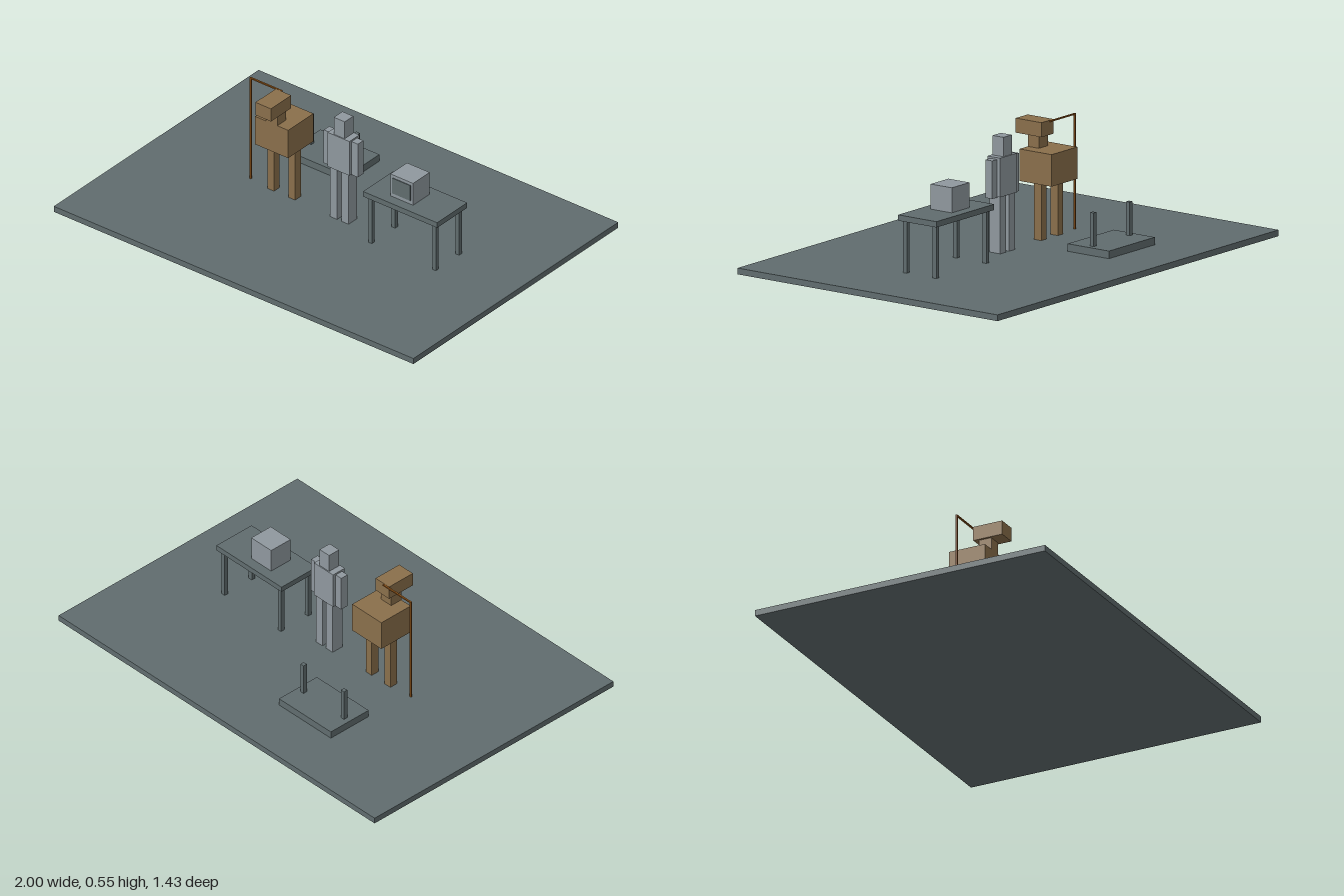
import * as THREE from 'three';

const material = (name, color) => {
  const m = new THREE.MeshStandardMaterial({ color });
  m.name = name;
  return m;
};

export function createModel() {
  const slate = material('slate', 0x606c6e);
  const grey = material('lightGrey', 0x8f989e);
  const brown = material('brown', 0x8a6f4b);
  const rope = material('darkOrangeBrown', 0x8b5218);

  const model = new THREE.Group();
  model.name = 'roomScene';

  const group = (name) => {
    const g = new THREE.Group();
    g.name = name;
    model.add(g);
    return g;
  };

  // Box given by its x, y and z extents
  const box = (parent, name, mat, [x0, x1], [y0, y1], [z0, z1]) => {
    const mesh = new THREE.Mesh(new THREE.BoxGeometry(x1 - x0, y1 - y0, z1 - z0), mat);
    mesh.position.set((x0 + x1) / 2, (y0 + y1) / 2, (z0 + z1) / 2);
    mesh.name = name;
    parent.add(mesh);
  };
  // Extent around a centre
  const around = (c, half) => [c - half, c + half];

  const ground = 0.028;
  box(model, 'floor', slate, [-1, 1], [0, ground], [-0.714, 0.714]);

  // Brown animal figure with two legs and a forward head
  const animal = group('animal');
  const ax = -0.288;
  box(animal, 'body', brown, around(ax, 0.092), [0.282, 0.425], [-0.088, 0.088]);
  box(animal, 'neck', brown, around(ax, 0.032), [0.425, 0.48], [0.028, 0.088]);
  box(animal, 'head', brown, around(ax, 0.043), [0.48, 0.545], [0.005, 0.147]);
  for (const s of [-1, 1])
    box(animal, 'leg', brown, around(ax + s * 0.059, 0.018), [ground, 0.282], around(0, 0.02));

  // Thin pole with an arm reaching behind the head
  const pole = group('pole');
  box(pole, 'upright', rope, around(-0.474, 0.004), [ground, 0.545], around(0, 0.004));
  box(pole, 'crossArm', rope, [-0.47, -0.3], [0.539, 0.545], around(0, 0.004));

  // Grey standing figure
  const person = group('person');
  const px = 0.042;
  box(person, 'torso', grey, around(px, 0.06), [0.283, 0.458], around(0, 0.035));
  box(person, 'head', grey, around(px, 0.03), [0.458, 0.545], around(0, 0.03));
  for (const s of [-1, 1]) {
    box(person, 'arm', grey, around(px + s * 0.077, 0.018), [0.28, 0.45], around(0, 0.019));
    box(person, 'leg', grey, around(px + s * 0.032, 0.02), [ground, 0.283], around(0, 0.03));
  }

  // Table
  const table = group('table');
  const tx = 0.44;
  box(table, 'tableTop', slate, around(tx, 0.206), [0.262, 0.288], around(0, 0.105));
  for (const sx of [-1, 1])
    for (const sz of [-1, 1])
      box(table, 'tableLeg', slate, around(tx + sx * 0.178, 0.01), [ground, 0.262], around(sz * 0.081, 0.01));

  // Monitor on the table
  const monitor = group('monitor');
  box(monitor, 'monitorCase', grey, around(0.412, 0.063), [0.288, 0.4], [-0.058, 0.058]);
  box(monitor, 'screen', slate, around(0.412, 0.05), [0.307, 0.385], [0.058, 0.062]);

  // Low platform with two posts
  const platform = group('platform');
  const bx = -0.288;
  box(platform, 'platformBase', slate, around(bx, 0.164), [ground, 0.062], [-0.458, -0.232]);
  for (const s of [-1, 1])
    box(platform, 'post', slate, around(bx + s * 0.128, 0.01), [0.062, 0.212], around(-0.345, 0.01));

  return model;
}
